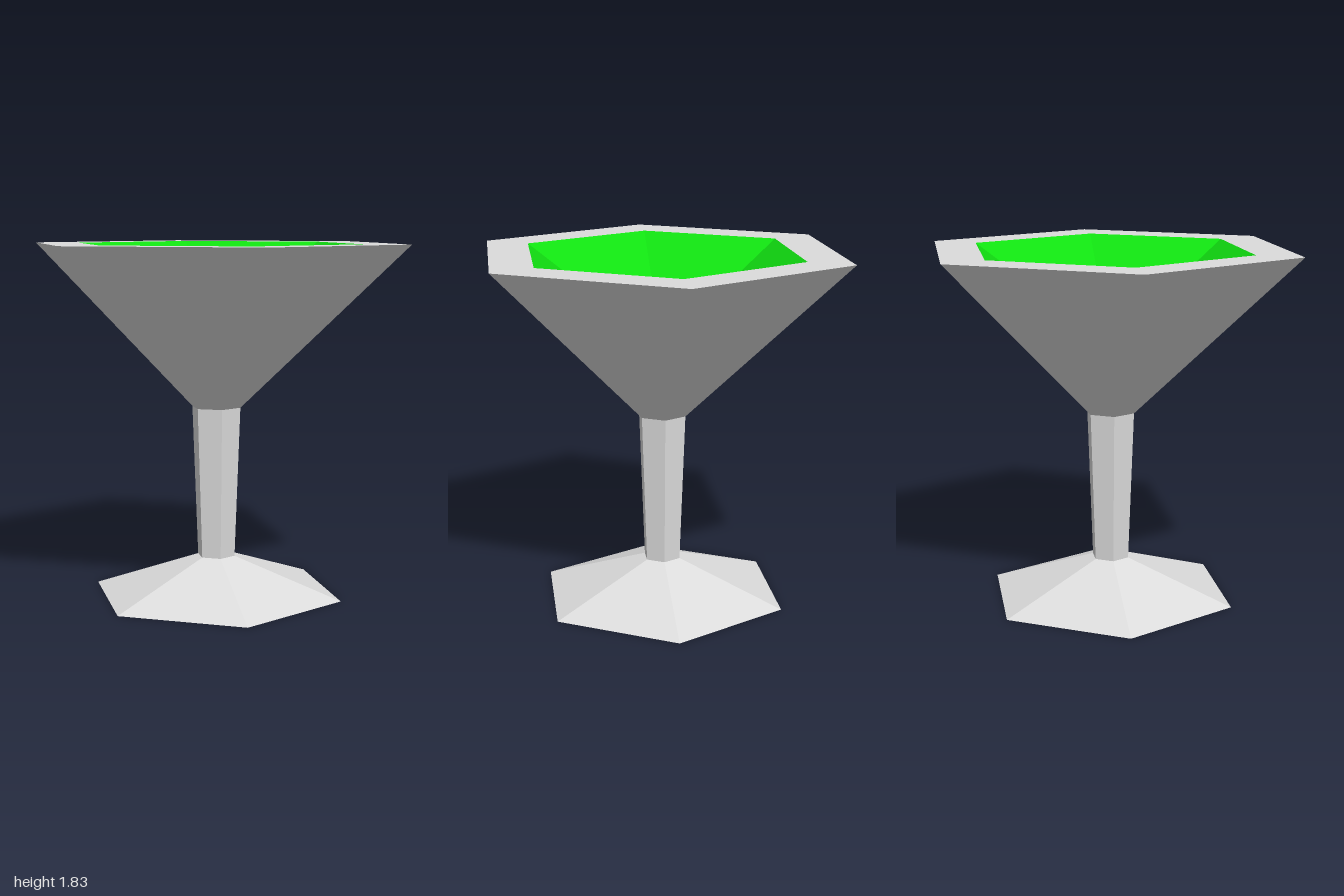
import * as THREE from 'three';

const SIDES = 6;

export function createModel() {
  const model = new THREE.Group();
  model.name = 'cocktailGlass';

  const glass = new THREE.MeshStandardMaterial({ color: 0xdcdcdc });
  glass.name = 'pale grey glass';
  const green = new THREE.MeshStandardMaterial({ color: 0x11e211 });
  green.name = 'green drink';

  // Six-sided faceted ring from [radius, height] points; corners lie on the z axis
  function addFaceted(name, profile, material) {
    const points = profile.map(([r, y]) => new THREE.Vector2(r, y));
    const geometry = new THREE.LatheGeometry(points, SIDES).toNonIndexed();
    geometry.computeVertexNormals();
    const mesh = new THREE.Mesh(geometry, material);
    mesh.name = name;
    model.add(mesh);
  }

  // Sloping foot with a flat underside
  addFaceted('foot', [[0, 0], [0.67, 0], [0.1, 0.2]], glass);
  // Slender stem, slightly wider at the top
  addFaceted('stem', [[0.1, 0.2], [0.13, 0.985]], glass);
  // Flaring bowl with a broad flat rim
  addFaceted('bowl', [[0.13, 0.985], [1, 1.825], [0.757, 1.825]], glass);
  // Green hollow sinking to a point inside the rim
  addFaceted('drink', [[0.757, 1.825], [0, 1.34]], green);

  return model;
}
